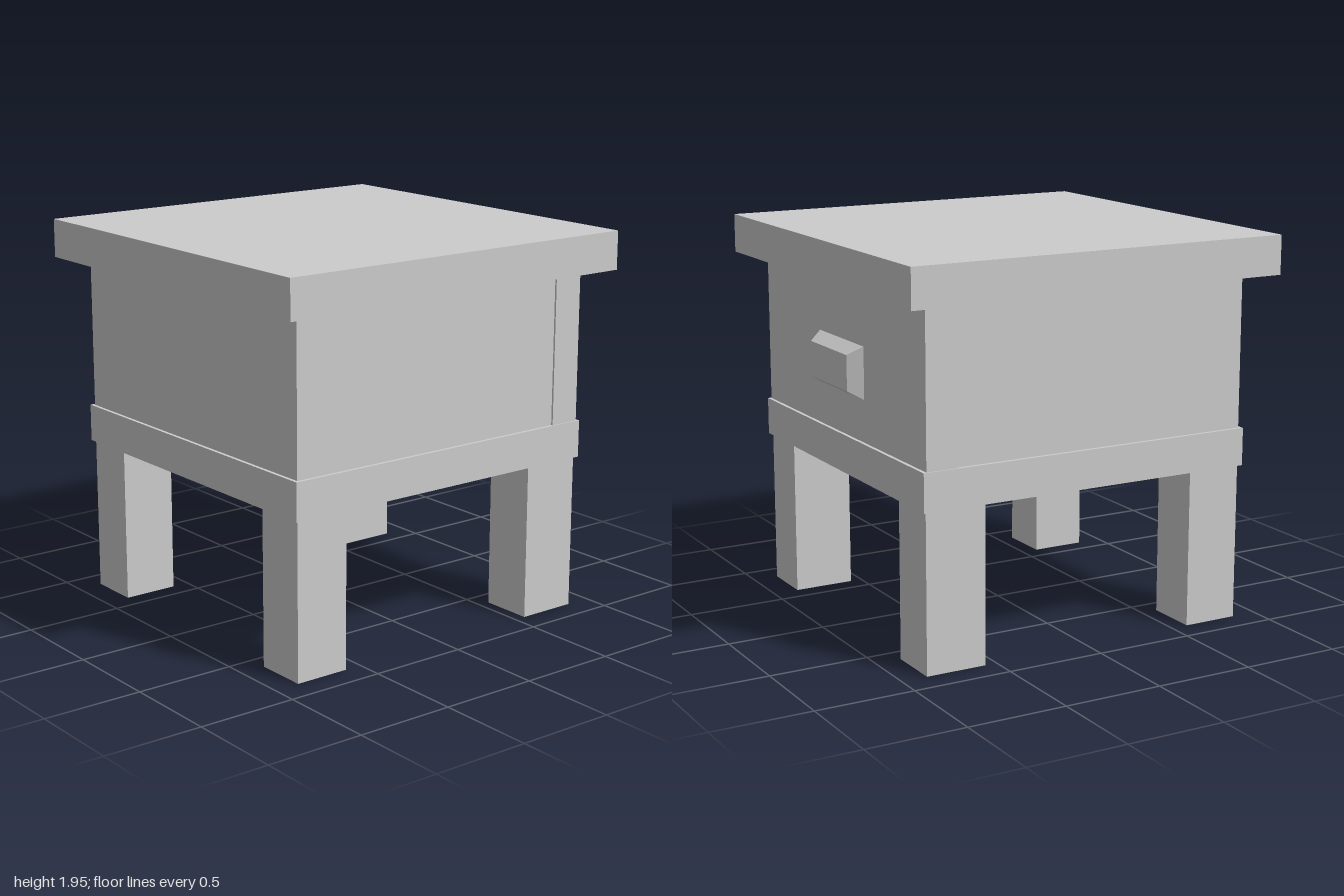
import * as THREE from 'three';

const material = new THREE.MeshStandardMaterial({ color: 0xcccccc, flatShading: true });

// Box given by its lower and upper limits on each axis
function box(name, [x0, x1], [y0, y1], [z0, z1]) {
  const mesh = new THREE.Mesh(new THREE.BoxGeometry(x1 - x0, y1 - y0, z1 - z0), material);
  mesh.position.set((x0 + x1) / 2, (y0 + y1) / 2, (z0 + z1) / 2);
  mesh.name = name;
  return mesh;
}

// Block whose outer (-z) face is inset on all four sides
function bevelledHandle(width, height, depth, inset) {
  const geometry = new THREE.BoxGeometry(width, height, depth);
  const p = geometry.attributes.position;
  for (let i = 0; i < p.count; i++) {
    if (p.getZ(i) < 0) {
      p.setX(i, p.getX(i) - Math.sign(p.getX(i)) * inset);
      p.setY(i, p.getY(i) - Math.sign(p.getY(i)) * inset);
    }
  }
  geometry.computeVertexNormals();
  const mesh = new THREE.Mesh(geometry, material);
  mesh.name = 'drawerHandle';
  return mesh;
}

export function createModel() {
  const table = new THREE.Group();
  table.name = 'bedsideTable';

  // Overhanging top, cabinet and base slab
  table.add(
    box('tableTop', [-1, 1], [1.75, 1.945], [-1, 1]),
    box('cabinetBody', [-0.87, 0.87], [0.98, 1.75], [-0.71, 0.87]),
    box('baseSlab', [-0.887, 0.887], [0.79, 0.98], [-0.887, 0.887])
  );

  // Drawer front on the back side, slightly wider than the cabinet
  const drawer = new THREE.Group();
  drawer.name = 'drawer';
  const handle = bevelledHandle(0.49, 0.26, 0.07, 0.042);
  handle.position.set(0, 1.32, -0.905);
  drawer.add(box('drawerFront', [-0.88, 0.88], [0.98, 1.75], [-0.87, -0.71]), handle);
  table.add(drawer);

  // Four square legs, the back pair slightly deeper
  for (const x of [[-0.87, -0.6], [0.6, 0.87]]) {
    table.add(box('frontLeg', x, [0, 0.79], [0.587, 0.87]));
    table.add(box('backLeg', x, [0, 0.79], [-0.87, -0.56]));
  }
  return table;
}
